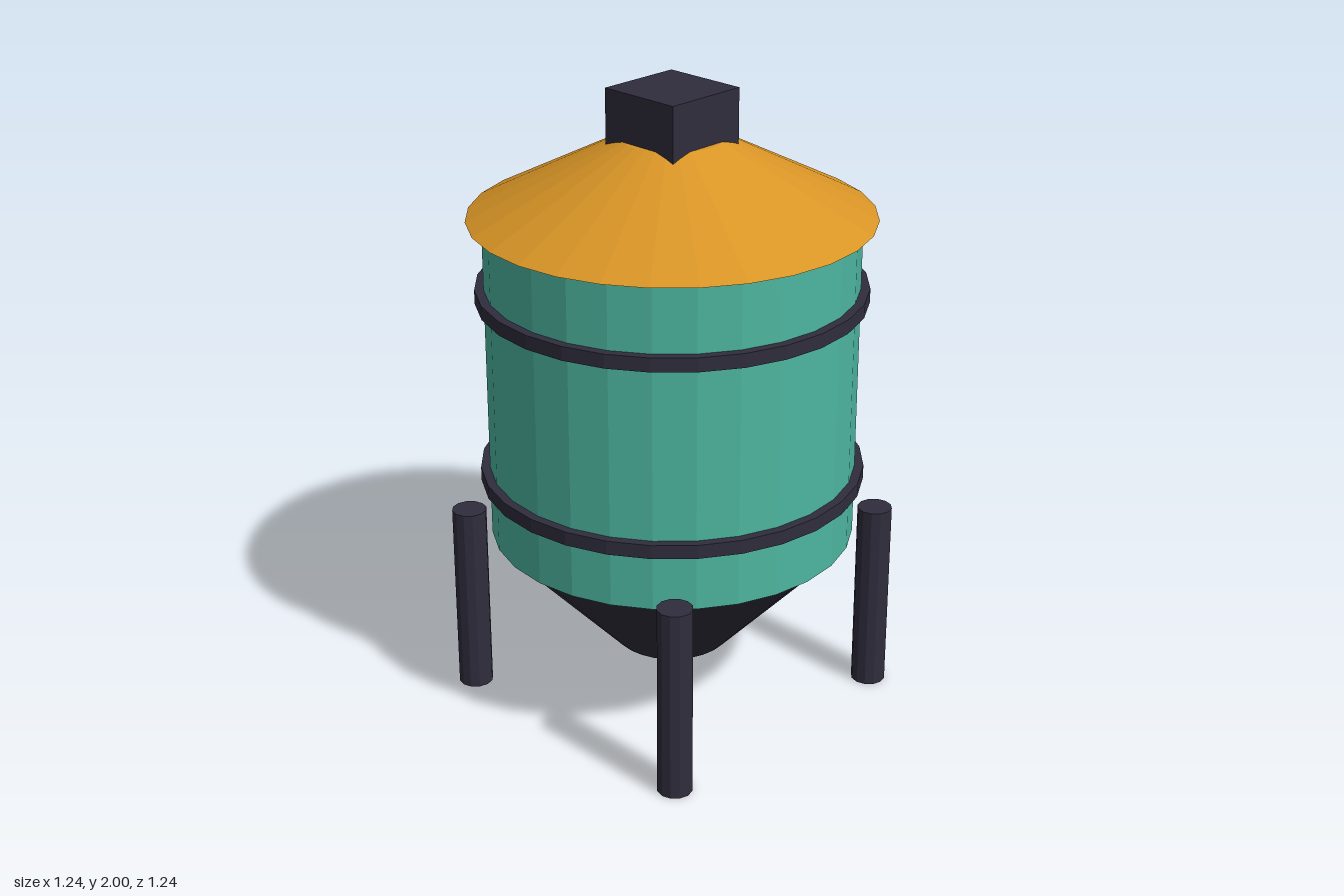
import * as THREE from 'three';

const SIDES = 28;

export function createModel() {
  const model = new THREE.Group();
  model.name = 'storageSilo';

  const material = (name, color) => {
    const m = new THREE.MeshStandardMaterial({ color, flatShading: true });
    m.name = name;
    return m;
  };
  const teal = material('tealWall', 0x4db6a0);
  const amber = material('amberRoof', 0xd99526);
  const dark = material('darkMetal', 0x2f2d3c);

  const add = (name, geometry, mat, x, y, z) => {
    const mesh = new THREE.Mesh(geometry, mat);
    mesh.name = name;
    mesh.position.set(x, y, z);
    model.add(mesh);
  };
  // Round part given by its bottom and top heights and radii
  const round = (name, y0, y1, r0, r1, mat, x = 0, z = 0, sides = SIDES) =>
    add(name, new THREE.CylinderGeometry(r1, r0, y1 - y0, sides), mat, x, (y0 + y1) / 2, z);

  // Tank, discharge hopper and conical roof
  round('tank', 0.577, 1.612, 0.572, 0.572, teal);
  round('hopper', 0.177, 0.577, 0.185, 0.555, dark);
  round('roof', 1.61, 1.85, 0.62, 0.155, amber);

  // Hoops around the tank
  round('lowerHoop', 0.76, 0.804, 0.6, 0.6, dark);
  round('upperHoop', 1.35, 1.394, 0.6, 0.6, dark);

  // Square hatch sunk into the roof
  add('hatch', new THREE.BoxGeometry(0.278, 0.2, 0.278), dark, 0, 1.9, 0);

  // Four legs standing at the corners
  for (const x of [-1, 1]) {
    for (const z of [-1, 1]) {
      const name = (z > 0 ? 'front' : 'back') + (x > 0 ? 'Left' : 'Right') + 'Leg';
      round(name, 0, 0.625, 0.055, 0.055, dark, x * 0.456, z * 0.456, 12);
    }
  }
  return model;
}
